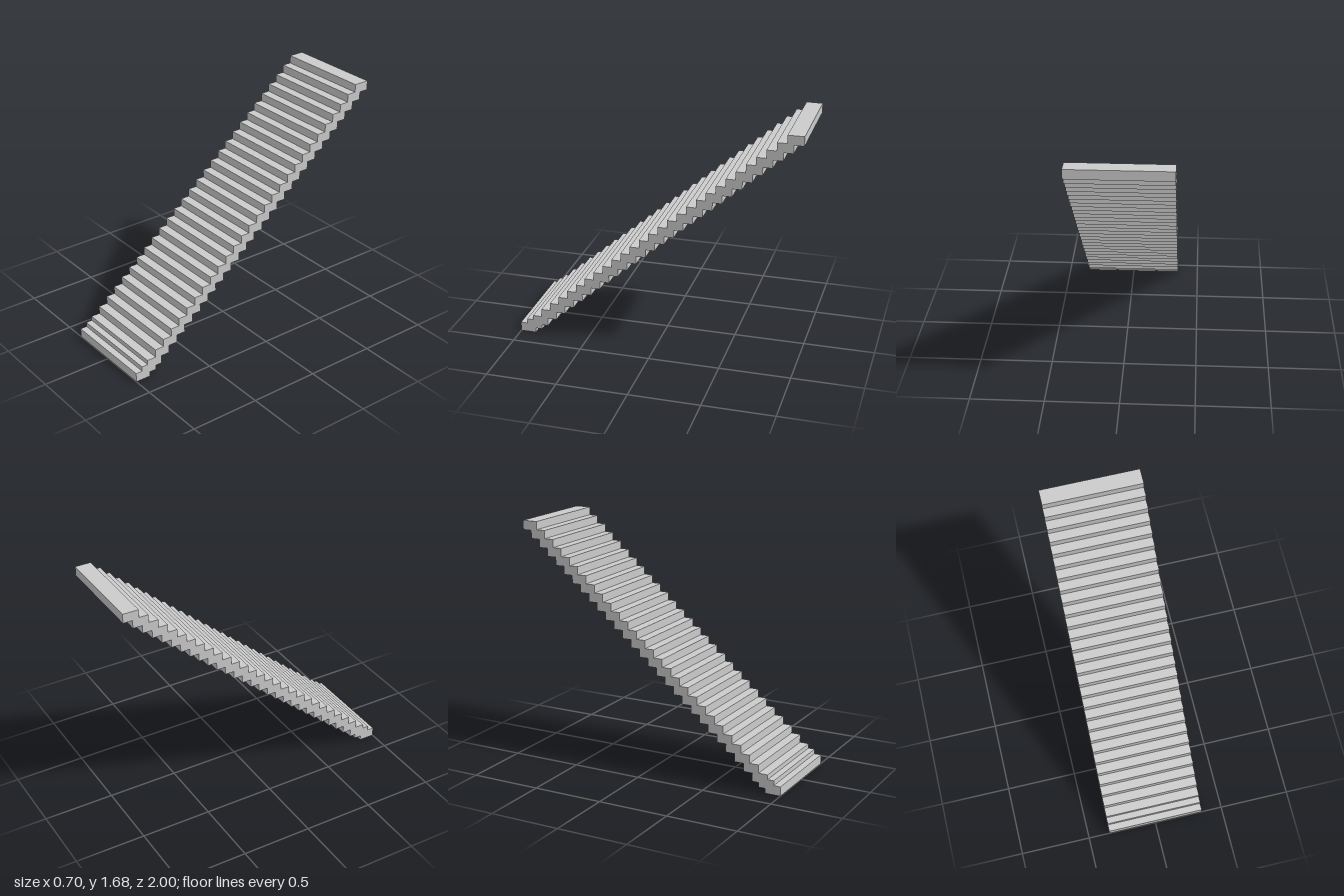
import * as THREE from 'three';

export function createModel() {
  const group = new THREE.Group();
  group.name = 'stairFlight';
  const material = new THREE.MeshStandardMaterial({ color: 0xcccccc, flatShading: true });

  const width = 0.696, height = 0.066, depth = 0.112;
  const tread = new THREE.BoxGeometry(width, height, depth);

  // Each step is placed by its top edge: height of the top, z of the front
  const addStep = (name, top, front) => {
    const step = new THREE.Mesh(tread, material);
    step.name = name;
    step.position.set(0, top - height / 2, front - depth / 2);
    group.add(step);
  };

  // Three closely spaced steps at the landing
  [[0.066, 1], [0.1, 0.951], [0.133, 0.905]].forEach(([top, front], i) =>
    addStep(`landingStep${i + 1}`, top, front));

  // Evenly pitched main run
  const count = 27;
  for (let i = 0; i < count; i++) {
    const t = i / (count - 1);
    addStep(`step${i + 1}`,
      THREE.MathUtils.lerp(0.191, 1.676, t),
      THREE.MathUtils.lerp(0.839, -0.888, t));
  }
  return group;
}
